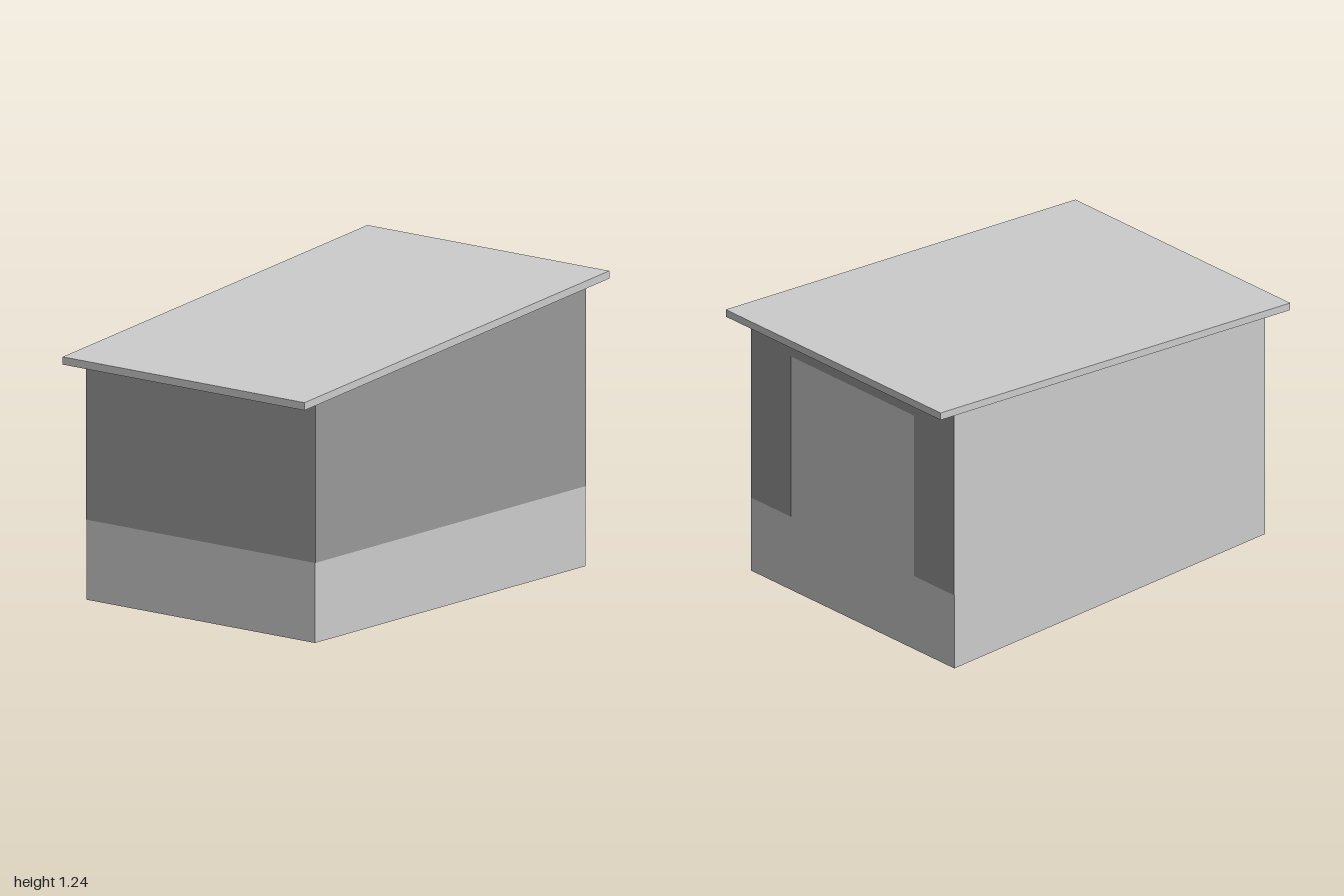
import * as THREE from 'three';

const W = 0.613, D = 0.888, BAND = 0.342, T = 0.002;
const paleGrey = new THREE.MeshStandardMaterial({ color: 0xcccccc });
paleGrey.name = 'paleGrey';
const midGrey = new THREE.MeshStandardMaterial({ color: 0x999999 });
midGrey.name = 'midGrey';

// Height of the underside of the sloping roof at depth z
const roofY = (z) => 1.115 - 0.0965 * z;

function polygon(points) {
  return new THREE.Shape(points.map(([a, b]) => new THREE.Vector2(a, b)));
}

function extrude(name, points, depth, material) {
  const geometry = new THREE.ExtrudeGeometry(polygon(points), { depth, bevelEnabled: false });
  const mesh = new THREE.Mesh(geometry, material);
  mesh.name = name;
  return mesh;
}

// Side profile given as [z, y], extruded along x from x0 to x1
function sideProfile(name, points, x0, x1, material) {
  const mesh = extrude(name, points.map(([z, y]) => [-z, y]), x1 - x0, material);
  mesh.geometry.rotateY(Math.PI / 2).translate(x0, 0, 0);
  return mesh;
}

export function createModel() {
  const group = new THREE.Group();
  group.name = 'shed';

  // Wedge-topped body
  group.add(sideProfile('walls',
    [[D, 0], [-D, 0], [-D, roofY(-D)], [D, roofY(D)]], -W, W, paleGrey));

  // Overhanging sloped roof slab with upright edges
  group.add(sideProfile('roof',
    [[1, roofY(1)], [-1, roofY(-1)], [-1, roofY(-1) + 0.033], [1, roofY(1) + 0.033]],
    -0.648, 0.648, paleGrey));

  // Darker upper cladding on the +x side
  group.add(sideProfile('sideCladding',
    [[D, BAND], [-D, BAND], [-D, roofY(-D)], [D, roofY(D)]], W, W + T, midGrey));

  // Darker upper cladding on the front
  const front = extrude('frontCladding',
    [[-W, BAND], [W, BAND], [W, roofY(D)], [-W, roofY(D)]], T, midGrey);
  front.position.z = D;
  group.add(front);

  // Back cladding framing a pale opening
  const top = roofY(-D), o = 0.372, oTop = 1.09;
  const back = extrude('backCladding',
    [[-W, BAND], [-o, BAND], [-o, oTop], [o, oTop], [o, BAND], [W, BAND], [W, top], [-W, top]],
    T, midGrey);
  back.position.z = -D - T;
  group.add(back);

  return group;
}
